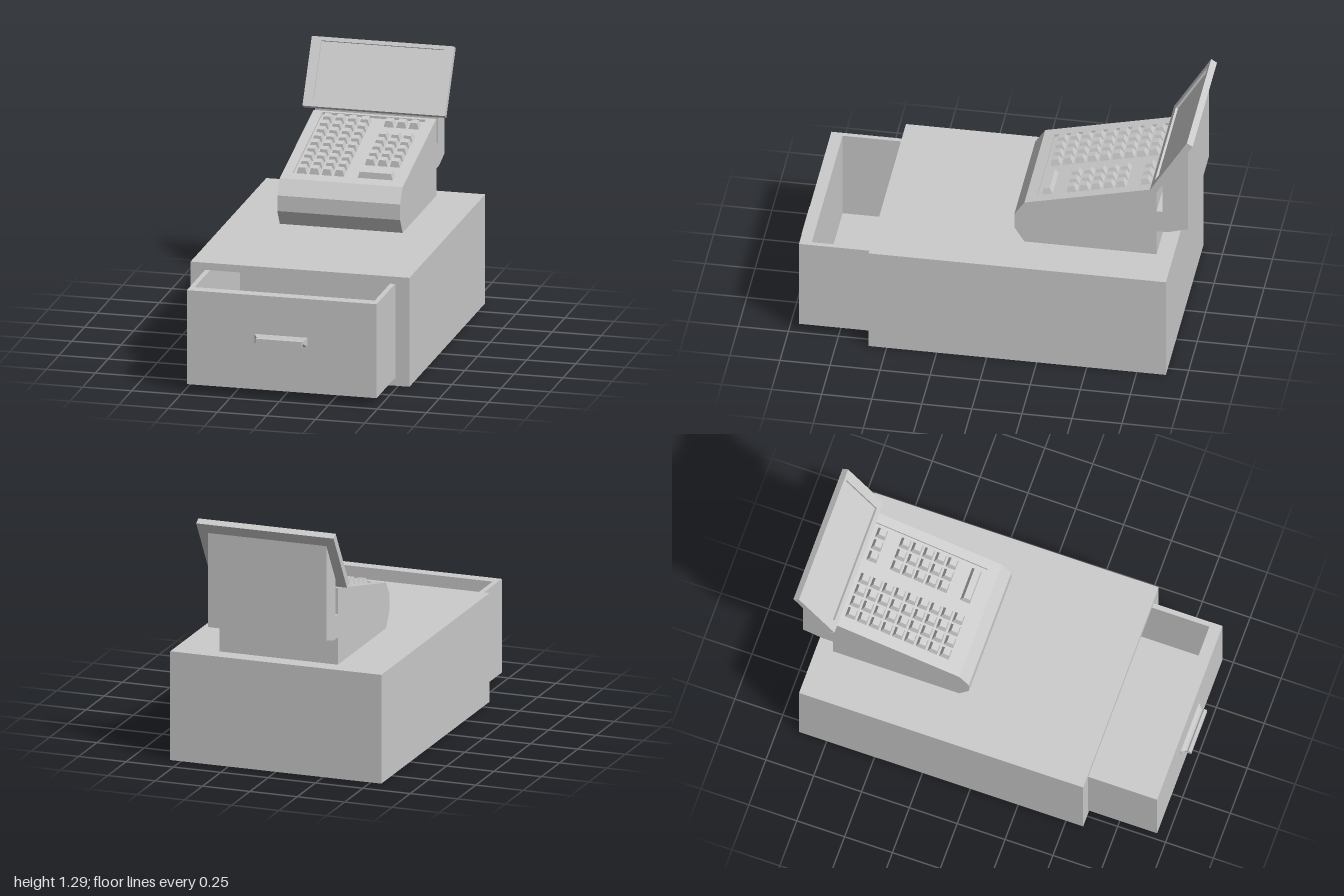
import * as THREE from 'three';

const material = new THREE.MeshStandardMaterial({ color: 0xcccccc, flatShading: true });

function add(parent, name, geometry, x = 0, y = 0, z = 0) {
  const mesh = new THREE.Mesh(geometry, material);
  mesh.name = name;
  mesh.position.set(x, y, z);
  parent.add(mesh);
  return mesh;
}

function group(parent, name, x = 0, y = 0, z = 0, tilt = 0) {
  const g = new THREE.Group();
  g.name = name;
  g.position.set(x, y, z);
  g.rotation.x = tilt;
  parent.add(g);
  return g;
}

// Box given by its extents
function block(parent, name, x0, x1, y0, y1, z0, z1) {
  return add(parent, name, new THREE.BoxGeometry(x1 - x0, y1 - y0, z1 - z0),
    (x0 + x1) / 2, (y0 + y1) / 2, (z0 + z1) / 2);
}

function rectPoints(x0, x1, y0, y1) {
  return [[x0, y0], [x1, y0], [x1, y1], [x0, y1]].map(p => new THREE.Vector2(...p));
}

// Rectangular frame with a rectangular opening, thick along z
function frame(outer, inner, depth) {
  const shape = new THREE.Shape(rectPoints(...outer));
  shape.holes.push(new THREE.Path(rectPoints(...inner)));
  return new THREE.ExtrudeGeometry(shape, { depth, bevelEnabled: false });
}

// Side profile of [z, y] points, extruded from x0 to x1
function sideProfile(points, x0, x1) {
  const shape = new THREE.Shape(points.map(([z, y]) => new THREE.Vector2(-z, y)));
  return new THREE.ExtrudeGeometry(shape, { depth: x1 - x0, bevelEnabled: false })
    .rotateY(Math.PI / 2).translate(x0, 0, 0);
}

// Rectangular cross-sections [width, height, z] joined along z
function rectLoft(rings) {
  const n = rings.length - 1;
  const geometry = new THREE.BoxGeometry(1, 1, 1, 1, 1, n);
  const p = geometry.attributes.position;
  for (let i = 0; i < p.count; i++) {
    const [w, h, z] = rings[Math.round((p.getZ(i) + 0.5) * n)];
    p.setXYZ(i, p.getX(i) * w, p.getY(i) * h, z);
  }
  geometry.computeVertexNormals();
  return geometry;
}

export function createModel() {
  const model = new THREE.Group();
  model.name = 'cashRegister';

  // Hollow cabinet, open at the front
  const cabinet = group(model, 'cabinet');
  add(cabinet, 'cabinetShell',
    frame([-0.557, 0.557, 0, 0.56], [-0.485, 0.485, 0.037, 0.523], 1.465), 0, 0, -0.875);
  block(cabinet, 'cabinetBack', -0.557, 0.557, 0, 0.56, -0.895, -0.875);

  // Pulled-out drawer
  const drawer = group(model, 'drawer');
  block(drawer, 'drawerFront', -0.483, 0.483, 0.04, 0.523, 0.89, 0.95);
  block(drawer, 'drawerBack', -0.483, 0.483, 0.04, 0.523, -0.03, 0);
  block(drawer, 'drawerFloor', -0.458, 0.458, 0.04, 0.055, 0, 0.89);
  for (const [name, x] of [['drawerSideLeft', 0.4705], ['drawerSideRight', -0.4705]]) {
    block(drawer, name, x - 0.0125, x + 0.0125, 0.04, 0.523, 0, 0.89);
  }
  add(drawer, 'drawerHandle', rectLoft([
    [0.267, 0.046, 0.948], [0.267, 0.046, 0.955], [0.235, 0.014, 0.967],
    [0.235, 0.014, 0.977], [0.235, 0.028, 0.985], [0.235, 0.028, 1.0],
  ]), -0.003, 0.301, 0);

  // Sloped console with its rear screen bracket; the middle slice holds the key recess
  const console_ = group(model, 'console');
  const slope = Math.atan2(0.16, 0.66);
  const slopeY = z => 0.795 + (-0.15 - z) * Math.tan(slope);
  const depth = 0.012;
  const lower = [[-0.81, 0.56], [-0.15, 0.56], [-0.1, 0.64], [-0.1, 0.72], [-0.15, 0.795]];
  const recess = [
    [-0.205, slopeY(-0.205)], [-0.205, slopeY(-0.205) - depth],
    [-0.795, slopeY(-0.795) - depth], [-0.795, slopeY(-0.795)],
  ];
  const rear = [
    [-0.81, 0.955], [-0.81, 0.82], [-0.84, 0.82], [-0.84, 1.018], [-0.967, 1.22],
    [-0.967, 0.73], [-0.865, 0.7], [-0.81, 0.7],
  ];
  add(console_, 'consoleRightCheek', sideProfile([...lower, ...rear], -0.295, -0.245));
  add(console_, 'consoleMiddle', sideProfile([...lower, ...recess, ...rear], -0.245, 0.28));
  add(console_, 'consoleLeftCheek', sideProfile([...lower, ...rear], 0.28, 0.33));

  // Tapered keys standing on the slope
  const keys = group(model, 'keyboard', 0, 0.795 - depth, -0.15, slope);
  const keyShape = (w, d) =>
    rectLoft([[w, d, 0], [w - 0.018, d - 0.018, 0.03]]).rotateX(-Math.PI / 2);
  const keyGeometry = keyShape(0.052, 0.052);
  const rowZ = row => (-0.745 + row * 0.0614 + 0.15) / Math.cos(slope);
  for (let row = 0; row < 9; row++) {
    for (let col = 0; col < 4; col++) {
      add(keys, 'leftBlockKey', keyGeometry, -0.204 + col * 0.0635, 0, rowZ(row));
    }
    if (row === 1 || row > 6) continue;
    for (let col = 0; col < 3; col++) {
      add(keys, 'rightBlockKey', keyGeometry, 0.111 + col * 0.0635, 0, rowZ(row));
    }
  }
  add(keys, 'wideKey', keyShape(0.178, 0.052), 0.17, 0, rowZ(8));

  // Tilted screen with a shallow recessed face
  const screen = group(model, 'screen', 0.0175, 0.98, -0.785, -Math.atan2(0.185, 0.305));
  add(screen, 'screenBezel',
    frame([-0.3625, 0.3625, 0, 0.357], [-0.3125, 0.3125, 0.033, 0.337], 0.012), 0, 0, -0.012);
  block(screen, 'screenPanel', -0.3625, 0.3625, 0, 0.357, -0.034, -0.012);

  return model;
}
